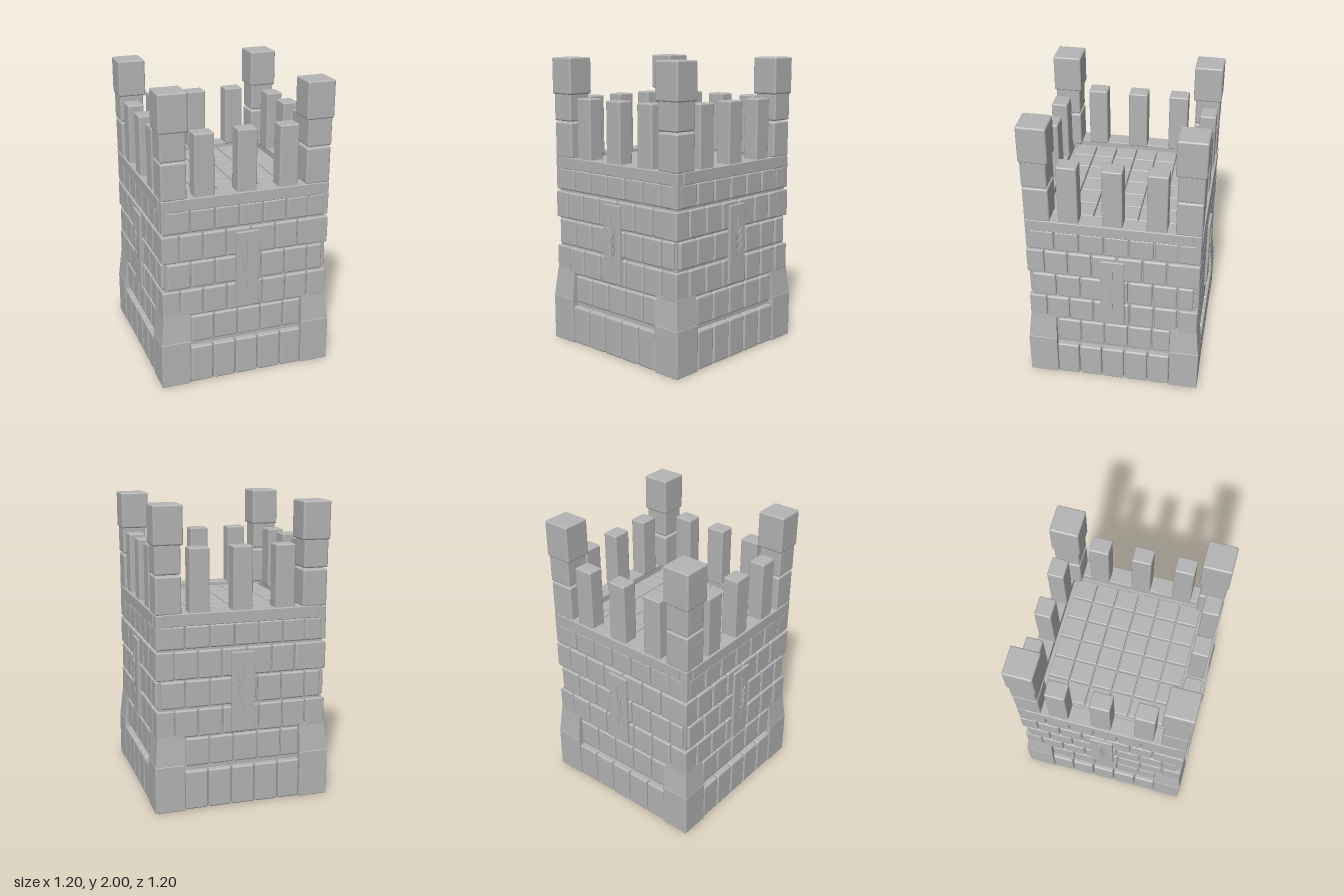
import * as THREE from 'three';
import { RoundedBoxGeometry } from 'three/addons/geometries/RoundedBoxGeometry.js';

export function createModel() {
  const tower = new THREE.Group();
  tower.name = 'castleTower';
  const stone = new THREE.MeshStandardMaterial({ color: 0xb4b4b4 });
  stone.name = 'greyStone';

  const add = (parent, name, geometry) => {
    const mesh = new THREE.Mesh(geometry, stone);
    mesh.name = name;
    parent.add(mesh);
    return mesh;
  };
  // Block given by its limits on each axis, with softened edges when r > 0
  const block = (parent, name, [x0, x1], [y0, y1], [z0, z1], r = 0.01) => {
    const size = [x1 - x0, y1 - y0, z1 - z0];
    const geometry = r ? new RoundedBoxGeometry(...size, 2, r) : new THREE.BoxGeometry(...size);
    const mesh = add(parent, name, geometry);
    mesh.position.set((x0 + x1) / 2, (y0 + y1) / 2, (z0 + z1) / 2);
    return mesh;
  };

  // Solid core behind the stones
  block(tower, 'baseCore', [-0.565, 0.565], [0, 0.265], [-0.565, 0.565], 0);
  block(tower, 'wallCore', [-0.557, 0.557], [0.26, 1.27], [-0.557, 0.557], 0);

  // Floor tiles on the roof
  const pitch = 0.147;
  for (let i = 0; i < 6; i++) {
    for (let j = 0; j < 6; j++) {
      const x = (i - 2.5) * pitch, z = (j - 2.5) * pitch, h = 0.07;
      block(tower, 'floorTile', [x - h, x + h], [1.22, 1.3], [z - h, z + h], 0.007);
    }
  }

  // Stone courses: bottom, top, face depth and the joints along the wall
  const courses = [
    [0.005, 0.27, 0.598, [-0.4, -0.24, -0.08, 0.08, 0.245, 0.4]],
    [0.3, 0.49, 0.578, [-0.39, -0.225, -0.06, 0.105, 0.27, 0.4]],
    [0.5, 0.685, 0.578, [-0.46, -0.3, -0.135, 0.03, 0.115, 0.28, 0.44, 0.545]],
    [0.7, 0.88, 0.578, [-0.55, -0.385, -0.22, -0.06, 0.105, 0.27, 0.435, 0.545]],
    [0.89, 1.075, 0.578, [-0.46, -0.3, -0.14, 0.03, 0.2, 0.36, 0.53]],
    [1.09, 1.24, 0.578, [-0.55, -0.385, -0.22, -0.055, 0.11, 0.275, 0.43, 0.545]],
  ];

  // Leaf outline for the carved plant
  const leaf = new THREE.Shape();
  leaf.moveTo(0, 0);
  leaf.quadraticCurveTo(0.03, 0.02, 0.036, 0.085);
  leaf.quadraticCurveTo(0.01, 0.05, 0, 0);

  function makeSide() {
    const side = new THREE.Group();
    side.name = 'wallSide';

    for (const [y0, y1, face, joints] of courses) {
      for (let i = 0; i < joints.length - 1; i++) {
        block(side, 'wallStone', [joints[i] + 0.004, joints[i + 1] - 0.004],
          [y0, y1], [face - 0.1, face], 0.012);
      }
    }
    // Plain corner stones that close the offset courses on the left
    block(side, 'cornerStone', [-0.579, -0.462], [0.5, 0.685], [0.45, 0.576], 0.008);
    block(side, 'cornerStone', [-0.579, -0.462], [0.89, 1.075], [0.45, 0.576], 0.008);

    // Ledge and merlons
    block(side, 'ledge', [-0.52, 0.52], [1.24, 1.32], [0.465, 0.582], 0.005);
    for (const x of [-0.287, 0, 0.287]) {
      block(side, 'merlon', [x - 0.066, x + 0.066], [1.31, 1.73], [0.457, 0.568], 0.01);
    }

    // Raised panel with a carved plant
    block(side, 'panel', [-0.08, 0.08], [0.515, 1.05], [0.54, 0.594], 0.005);
    block(side, 'plantStem', [-0.004, 0.004], [0.66, 0.98], [0.592, 0.601], 0);
    for (const y of [0.7, 0.755, 0.81]) {
      for (const s of [1, -1]) {
        const geometry = new THREE.ExtrudeGeometry(leaf,
          { depth: 0.008, bevelEnabled: false, curveSegments: 5 });
        const mesh = add(side, 'plantLeaf', geometry);
        mesh.position.set(0, y, s > 0 ? 0.592 : 0.6);
        if (s < 0) mesh.rotation.y = Math.PI;
      }
    }

    // Corner: heavy foot, tapered buttress, upper stone and turret
    const corner = new THREE.Group();
    corner.name = 'corner';
    side.add(corner);
    block(corner, 'cornerFoot', [0.4, 0.6], [0, 0.32], [0.4, 0.6], 0.006);
    const taper = new THREE.BoxGeometry(0.2, 0.21, 0.2);
    const p = taper.attributes.position;
    for (let i = 0; i < p.count; i++) {
      if (p.getY(i) > 0) {
        if (p.getX(i) > 0) p.setX(i, 0.078);
        if (p.getZ(i) > 0) p.setZ(i, 0.078);
      }
    }
    taper.computeVertexNormals();
    add(corner, 'taperedButtress', taper).position.set(0.499, 0.41, 0.499);
    block(corner, 'upperCornerStone', [0.42, 0.575], [1.09, 1.318], [0.42, 0.575], 0.008);
    block(corner, 'turretStone', [0.407, 0.575], [1.315, 1.56], [0.407, 0.575], 0.012);
    block(corner, 'turretStone', [0.41, 0.577], [1.568, 1.76], [0.41, 0.577], 0.012);
    block(corner, 'turretCap', [0.395, 0.585], [1.75, 2], [0.395, 0.585], 0.012);
    return side;
  }

  // The same side repeats around the tower
  for (let i = 0; i < 4; i++) {
    const side = makeSide();
    side.rotation.y = i * Math.PI / 2;
    tower.add(side);
  }
  return tower;
}
